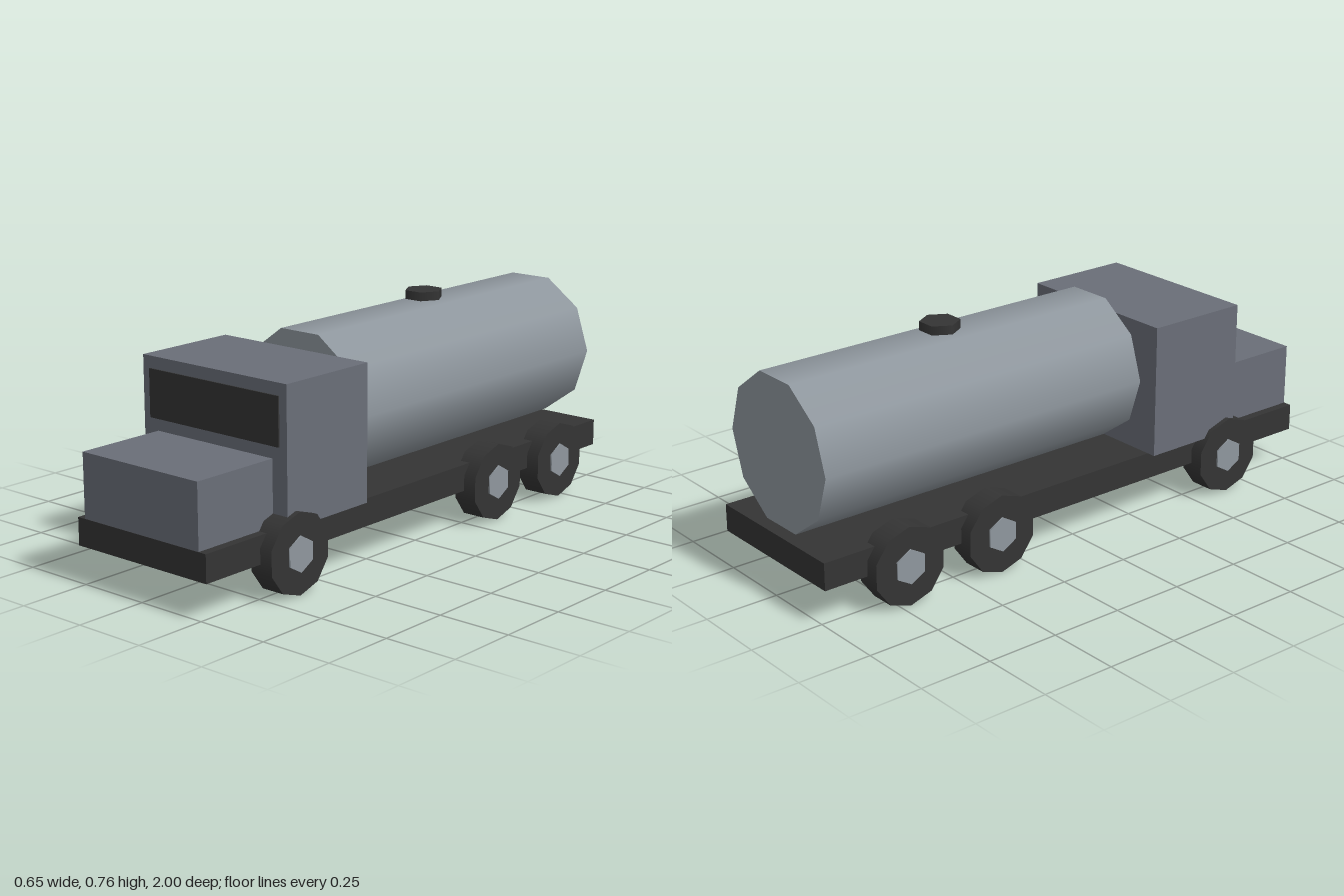
import * as THREE from 'three';

const paint = (name, color) => {
  const m = new THREE.MeshStandardMaterial({ color });
  m.name = name;
  return m;
};

export function createModel() {
  const truck = new THREE.Group();
  truck.name = 'tankerTruck';
  const body = paint('slate grey', 0x6a6e78);
  const steel = paint('light steel', 0x8f979e);
  const dark = paint('charcoal', 0x343434);

  const add = (name, geometry, material, x, y, z, parent = truck) => {
    const mesh = new THREE.Mesh(geometry, material);
    mesh.name = name;
    mesh.position.set(x, y, z);
    parent.add(mesh);
    return mesh;
  };
  // Box given by its full width and its y and z ranges, centred on x
  const box = (name, material, w, y0, y1, z0, z1) =>
    add(name, new THREE.BoxGeometry(w, y1 - y0, z1 - z0), material, 0, (y0 + y1) / 2, (z0 + z1) / 2);
  // Low-sided cylinder with a corner pointing along x
  const prism = (r, length, sides) =>
    new THREE.CylinderGeometry(r, r, length, sides, 1, false, Math.PI / 2);

  // Chassis, bonnet and cab
  box('chassis', dark, 0.55, 0.122, 0.214, -1, 1);
  box('bonnet', body, 0.49, 0.214, 0.428, 0.68, 0.999);
  box('cab', body, 0.61, 0.214, 0.667, 0.31, 0.68);
  box('windscreen', dark, 0.55, 0.468, 0.627, 0.678, 0.685);

  // Ten-sided tank lying along z, with a hatch above it
  add('tank', prism(0.257, 1.255, 10).rotateX(Math.PI / 2), steel, 0, 0.473, -0.343);
  add('hatch', prism(0.066, 0.03, 6), dark, 0, 0.745, -0.347);

  // Three axles, a wheel on each side
  const tyre = prism(0.1335, 0.083, 10).rotateZ(Math.PI / 2);
  const hub = prism(0.059, 0.094, 6).rotateZ(Math.PI / 2);
  for (const [axle, z] of [['front', 0.643], ['middle', -0.357], ['rear', -0.717]]) {
    for (const [side, x] of [['Left', 0.28], ['Right', -0.28]]) {
      const wheel = new THREE.Group();
      wheel.name = `${axle}${side}Wheel`;
      wheel.position.set(x, 0.1335, z);
      add('tyre', tyre, dark, 0, 0, 0, wheel);
      add('hub', hub, steel, 0, 0, 0, wheel);
      truck.add(wheel);
    }
  }
  return truck;
}
